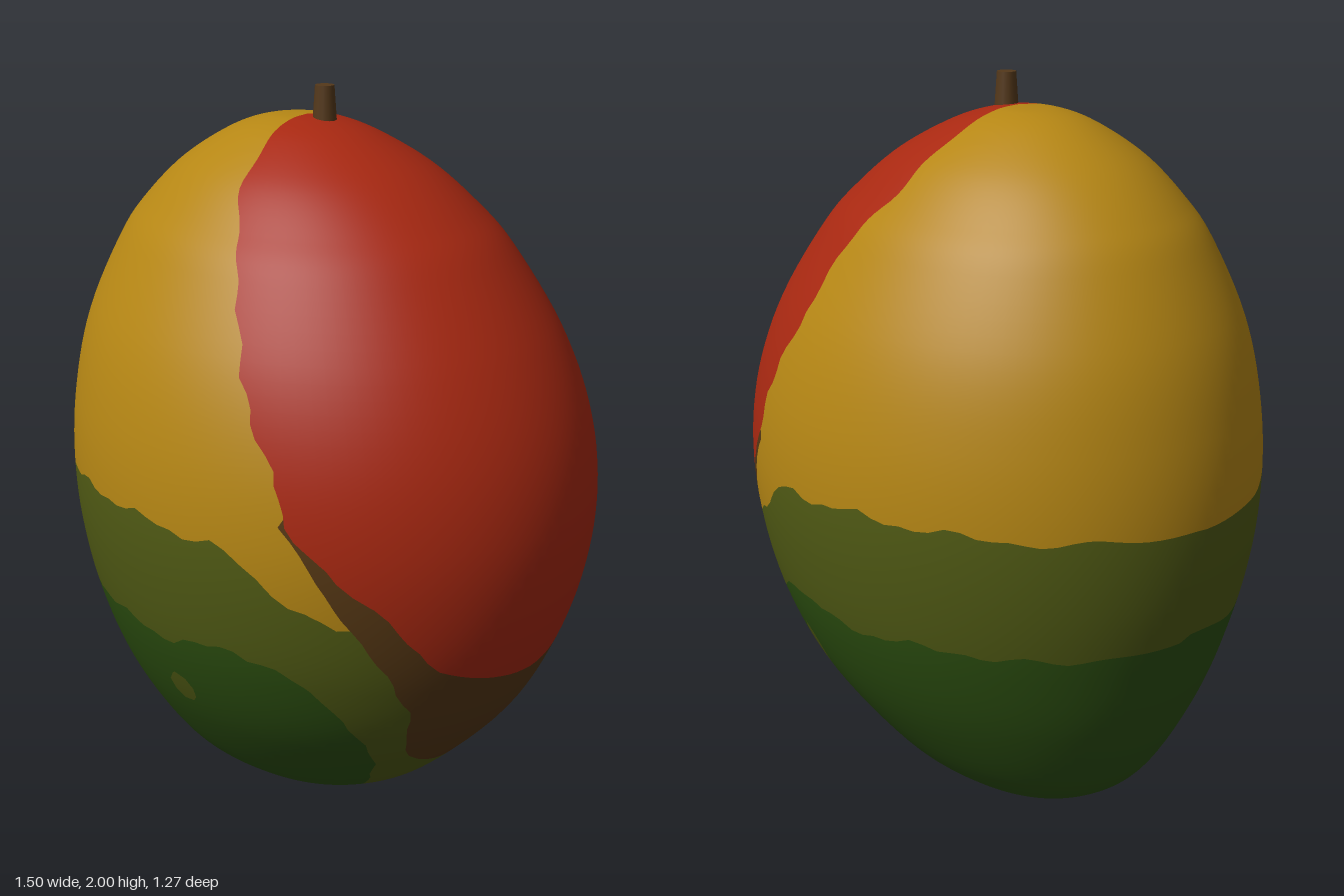
import * as THREE from 'three';

const mat = (name, color) => {
  const m = new THREE.MeshStandardMaterial({ color });
  m.name = name;
  return m;
};

// Body cross-sections, bottom to top: [y, left x, right x, half depth]
const SECTIONS = [
  [0, -0.1, -0.1, 0], [0.007, -0.18, -0.01, 0.06], [0.03, -0.26, 0.08, 0.12],
  [0.1, -0.41, 0.24, 0.23], [0.2, -0.52, 0.38, 0.34], [0.4, -0.625, 0.565, 0.48],
  [0.6, -0.69, 0.67, 0.57], [0.8, -0.735, 0.73, 0.617], [1, -0.75, 0.747, 0.633],
  [1.2, -0.735, 0.715, 0.615], [1.4, -0.69, 0.63, 0.56], [1.6, -0.6, 0.495, 0.46],
  [1.7, -0.53, 0.4, 0.385], [1.8, -0.425, 0.27, 0.29], [1.88, -0.295, 0.115, 0.17],
  [1.915, -0.19, 0.0, 0.08], [1.923, -0.08, -0.08, 0],
];
const outline = new THREE.CatmullRomCurve3(
  SECTIONS.map(([y, l, r]) => new THREE.Vector3((l + r) / 2, y, (r - l) / 2)), false, 'catmullrom');
const depth = new THREE.CatmullRomCurve3(
  SECTIONS.map(([y, , , d]) => new THREE.Vector3(d, y, 0)), false, 'catmullrom');

// Point and normal on the skin: u goes around, v goes up
function skin(u, v) {
  const o = outline.getPoint(v), d = depth.getPoint(v).x;
  return new THREE.Vector3(o.x + o.z * Math.cos(u), o.y, d * Math.sin(u));
}
function skinNormal(u, v) {
  if (v < 0.002) return new THREE.Vector3(0, -1, 0);
  if (v > 0.998) return new THREE.Vector3(0, 1, 0);
  const e = 0.001;
  const du = skin(u + e, v).sub(skin(u - e, v));
  const dv = skin(u, v + e).sub(skin(u, v - e));
  return dv.cross(du).normalize();
}

// Piecewise linear lookup
function lookup(table, k) {
  if (k <= table[0][0]) return table[0][1];
  for (let i = 1; i < table.length; i++) {
    const [a, b] = [table[i - 1], table[i]];
    if (k <= b[0]) return THREE.MathUtils.mapLinear(k, a[0], b[0], a[1], b[1]);
  }
  return table[table.length - 1][1];
}
const wobble = (k, s) => 0.009 * Math.sin(k * 23 + s) + 0.006 * Math.sin(k * 51 + 2 * s);

// Colour borders: the first three give x by y, the last two give y by x
const RED = [[0.5, 0.8], [0.57, 0.66], [0.65, 0.61], [0.8, 0.54], [0.97, 0.41], [1.08, 0.3],
  [1.2, 0.28], [1.4, 0.15], [1.5, 0.13], [1.72, 0], [1.92, -0.08]];
const BROWN = [[0.2, 0.42], [0.3, 0.43], [0.42, 0.47], [0.52, 0.51], [0.65, 0.51], [0.85, 0.43],
  [0.97, 0.37], [1.08, 0.29], [1.15, 0.4], [1.2, 0.9]];
const GREEN_SIDE = [[0, 0], [0.03, 0.1], [0.1, 0.2], [0.2, 0.3], [0.3, 0.36], [0.4, 0.385], [0.5, 0.38], [0.6, 0.33], [0.7, 0.28]];
const GREEN_TOP = [[-0.75, 0.69], [-0.6, 0.66], [-0.4, 0.68], [-0.05, 0.66], [0.15, 0.7], [0.25, 0.66], [0.38, 0.57]];
const YELLOW = [[-0.75, 0.98], [-0.6, 1], [-0.2, 1.01], [0.15, 0.99], [0.3, 0.88], [0.42, 0.8]];

const spot = (p, x, y, rx, ry, side) =>
  p.z * side > 0 ? Math.hypot((p.x - x) / rx, (p.y - y) / ry) - 1 : 1;

// Ordered patches: each takes the skin where its field is positive
const PATCHES = [
  ['redBlush', mat('red', 0xa82811), p => p.x - lookup(RED, p.y) - wobble(p.y, p.z > 0 ? 1 : 2)],
  ['brownBlend', mat('brown', 0x553714), p => p.x - lookup(BROWN, p.y) - 0.4 * wobble(p.y, 3)],
  ['yellowSkin', mat('yellow', 0xb58614), p => p.y - lookup(YELLOW, p.x) - wobble(p.x, p.z > 0 ? 4 : 5)],
  ['greenBase', mat('green', 0x2c4f10), p => Math.min(
    lookup(GREEN_SIDE, p.y) - p.x + 0.4 * wobble(p.y, 6),
    lookup(GREEN_TOP, p.x) - p.y + wobble(p.x, p.z > 0 ? 7 : 8),
    0.1 * spot(p, -0.08, 0.49, 0.045, 0.05, 1),
    0.1 * spot(p, 0.2, 0.48, 0.035, 0.08, -1))],
  ['oliveBand', mat('olive', 0x505a14), () => 1],
];

// Cut a polygon of [u, v] corners where the field changes sign
function split(poly, field) {
  const inside = [], outside = [];
  const f = poly.map(([u, v]) => field(skin(u, v)));
  poly.forEach((a, i) => {
    const j = (i + 1) % poly.length, b = poly[j];
    (f[i] >= 0 ? inside : outside).push(a);
    if ((f[i] >= 0) !== (f[j] >= 0)) {
      const t = f[i] / (f[i] - f[j]);
      const c = [a[0] + (b[0] - a[0]) * t, a[1] + (b[1] - a[1]) * t];
      inside.push(c);
      outside.push(c);
    }
  });
  return [inside, outside];
}

function buildSkin() {
  const NU = 112, NV = 96;
  const data = PATCHES.map(() => ({ pos: [], nor: [] }));
  for (let i = 0; i < NU; i++) for (let j = 0; j < NV; j++) {
    const [u0, u1] = [i, i + 1].map(k => k / NU * Math.PI * 2);
    const [v0, v1] = [j / NV, (j + 1) / NV];
    let rest = [[u0, v0], [u0, v1], [u1, v1], [u1, v0]];
    PATCHES.forEach(([, , field], k) => {
      if (rest.length < 3) return;
      const [part, other] = split(rest, field);
      rest = other;
      for (let n = 1; n + 1 < part.length; n++) {
        for (const [u, v] of [part[0], part[n], part[n + 1]]) {
          data[k].pos.push(...skin(u, v).toArray());
          data[k].nor.push(...skinNormal(u, v).toArray());
        }
      }
    });
  }
  return data.map(({ pos, nor }, k) => {
    const geo = new THREE.BufferGeometry();
    geo.setAttribute('position', new THREE.Float32BufferAttribute(pos, 3));
    geo.setAttribute('normal', new THREE.Float32BufferAttribute(nor, 3));
    const mesh = new THREE.Mesh(geo, PATCHES[k][1]);
    mesh.name = PATCHES[k][0];
    return mesh;
  });
}

export function createModel() {
  const model = new THREE.Group();
  model.name = 'mango';

  // Fruit body, one mesh for each colour of skin
  const body = new THREE.Group();
  body.name = 'body';
  body.add(...buildSkin());

  // Short tapered stem
  const stem = new THREE.Mesh(new THREE.CylinderGeometry(0.025, 0.032, 0.1, 12), mat('stem brown', 0x54381a));
  stem.name = 'stem';
  stem.position.set(-0.02, 1.95, 0);

  model.add(body, stem);
  return model;
}
